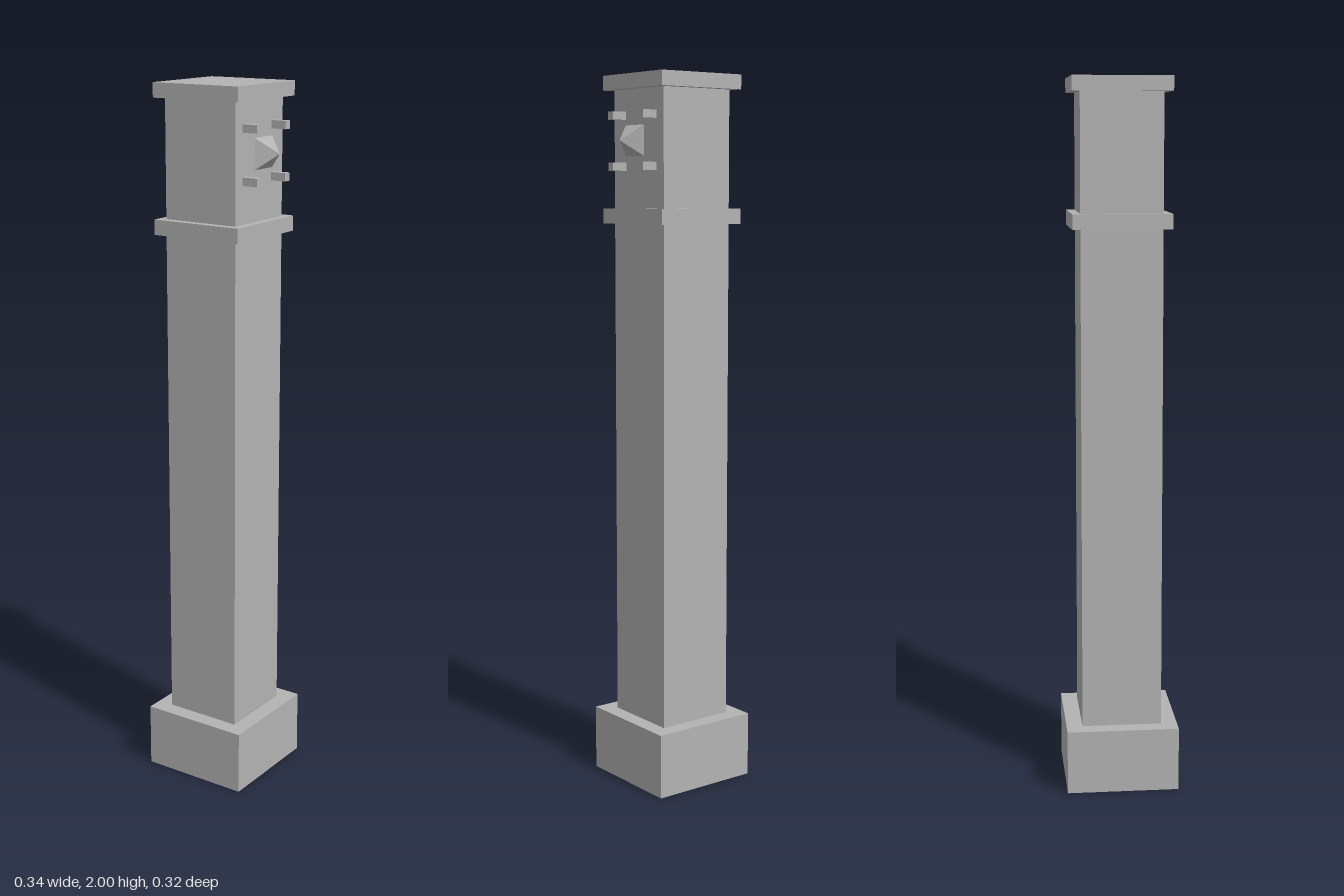
import * as THREE from 'three';

export function createModel() {
  const model = new THREE.Group();
  const stone = new THREE.MeshStandardMaterial({ color: 0xb3b3b3 });
  stone.name = 'grey stone';
  const axis = -0.01; // the pillar stands slightly off centre to make room for the spike

  function box(name, [w, h, d], [x, y, z]) {
    const mesh = new THREE.Mesh(new THREE.BoxGeometry(w, h, d), stone);
    mesh.name = name;
    mesh.position.set(x, y, z);
    model.add(mesh);
  }

  // Stacked square blocks: name, width, bottom, top
  for (const [name, width, bottom, top] of [
    ['base', 0.318, 0, 0.183],
    ['shaft', 0.226, 0.183, 1.595],
    ['collar', 0.272, 1.595, 1.637],
    ['head', 0.226, 1.637, 1.96],
    ['cap', 0.272, 1.96, 2],
  ]) {
    box(name, [width, top - bottom, width], [axis, (bottom + top) / 2, 0]);
  }

  // Four pegs around the spike
  for (const y of [1.751, 1.889]) {
    for (const z of [-0.069, 0.069]) {
      box('peg', [0.046, 0.022, 0.022], [0.125, y, z]);
    }
  }

  // Four-sided spike pointing to +x
  const geometry = new THREE.ConeGeometry(0.042 * Math.SQRT2, 0.051, 4).toNonIndexed();
  geometry.rotateY(Math.PI / 4);
  geometry.rotateZ(-Math.PI / 2);
  geometry.computeVertexNormals();
  const spike = new THREE.Mesh(geometry, stone);
  spike.name = 'spike';
  spike.position.set(0.1415, 1.82, 0);
  model.add(spike);

  return model;
}
